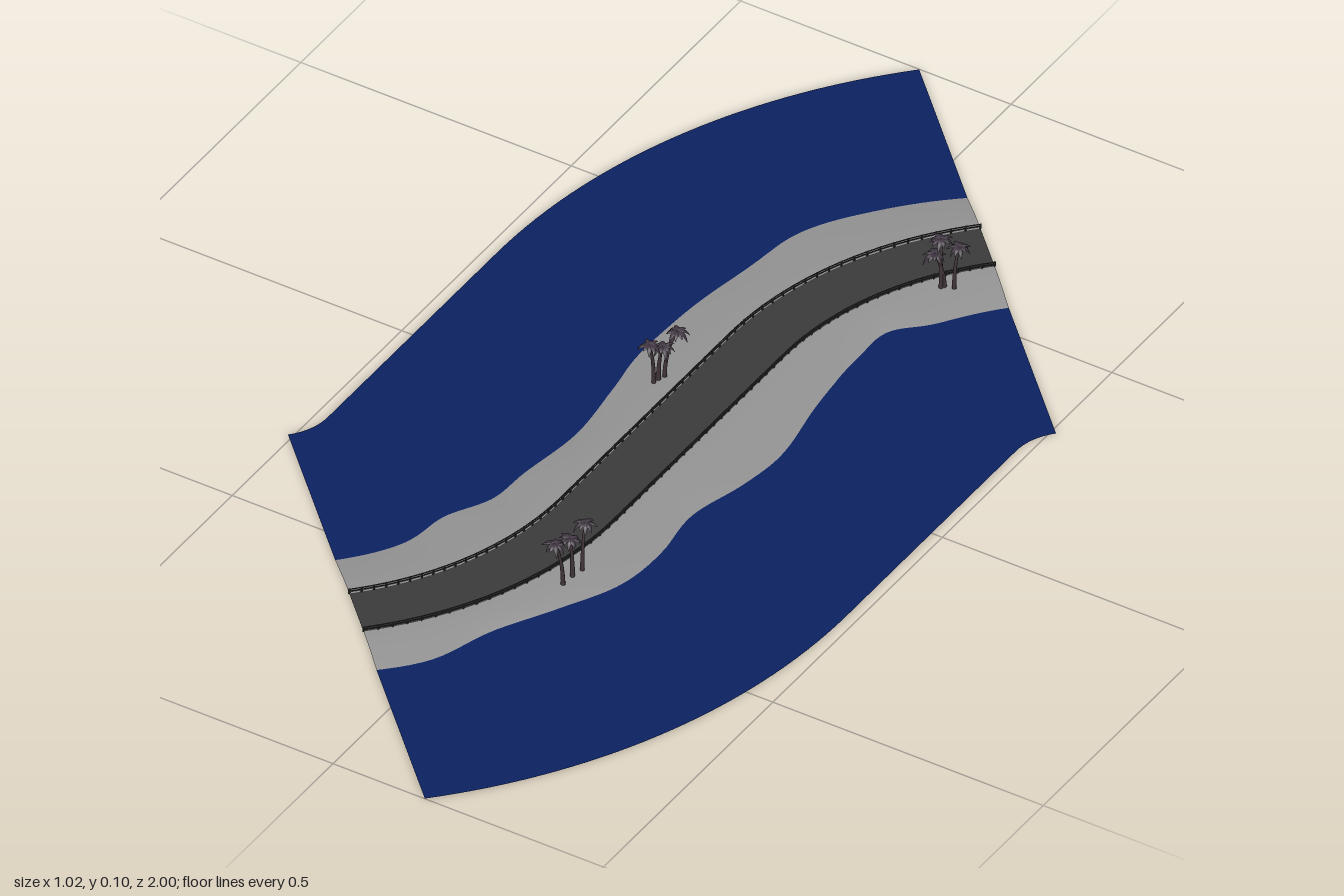
import * as THREE from 'three';
import { mergeGeometries } from 'three/addons/utils/BufferGeometryUtils.js';

const STRAIGHT = 0.25, RADIUS = 0.58, END = STRAIGHT + RADIUS * Math.PI / 4;
const HALF = 0.48, ROAD = 0.05, TOP = 0.008, STEPS = 96;

// Point on the S-bend: s runs along the road, u across it
function at(s, u) {
  if (s > 0) { const [x, z] = at(-s, -u); return [-x, -z]; }
  if (s >= -STRAIGHT) return [u, s];
  const a = (-STRAIGHT - s) / RADIUS, r = RADIUS - u;
  return [RADIUS - r * Math.cos(a), -STRAIGHT - r * Math.sin(a)];
}

// Inverse of at()
function toRoad(x, z) {
  if (z > 0) { const [s, u] = toRoad(-x, -z); return [-s, -u]; }
  if (z >= -STRAIGHT) return [z, x];
  const a = Math.atan2(-(z + STRAIGHT), RADIUS - x);
  return [-STRAIGHT - RADIUS * a, RADIUS - Math.hypot(RADIUS - x, z + STRAIGHT)];
}

// Smooth shoreline: returns u for a given s
function shoreline(points) {
  const curve = new THREE.SplineCurve(points.map(([x, z]) => new THREE.Vector2(...toRoad(x, z))));
  const pts = curve.getPoints(130);
  return s => {
    let i = 1;
    while (i < pts.length - 1 && pts[i].x < s) i++;
    const a = pts[i - 1], b = pts[i];
    const t = THREE.MathUtils.clamp((s - a.x) / (b.x - a.x), 0, 1);
    return a.y + (b.y - a.y) * t;
  };
}

const leftShore = shoreline([[0.07, -0.76], [-0.03, -0.66], [-0.105, -0.545], [-0.13, -0.4],
  [-0.153, -0.16], [-0.14, -0.05], [-0.127, 0.08], [-0.143, 0.21], [-0.15, 0.29],
  [-0.19, 0.37], [-0.207, 0.46], [-0.275, 0.555]]);
const rightShore = shoreline([[0.275, -0.555], [0.2, -0.46], [0.147, -0.4], [0.143, -0.32],
  [0.153, -0.185], [0.174, -0.05], [0.164, 0.05], [0.138, 0.16], [0.148, 0.265],
  [0.138, 0.37], [0.087, 0.476], [0.03, 0.58], [-0.01, 0.69], [-0.07, 0.76]]);

// Ribbon following the bend; each column is [u(s), y], ordered left to right
function ribbon(columns) {
  const pos = [], index = [], n = columns.length;
  for (let i = 0; i <= STEPS; i++) {
    const s = -END + 2 * END * i / STEPS;
    for (const [u, y] of columns) {
      const [x, z] = at(s, u(s));
      pos.push(x, y, z);
    }
    if (i === STEPS) continue;
    for (let j = 0; j < n - 1; j++) {
      const a = i * n + j, b = a + 1, c = a + n, d = c + 1;
      index.push(a, c, b, b, c, d);
    }
  }
  const g = new THREE.BufferGeometry();
  g.setAttribute('position', new THREE.Float32BufferAttribute(pos, 3));
  g.setIndex(index);
  g.computeVertexNormals();
  return g;
}

// Railing along one road edge: posts with two rails
function railing(u) {
  const parts = [], count = 64;
  for (let i = 0; i <= count; i++) {
    const s = -END + 2 * END * i / count;
    const [x, z] = at(s, u);
    parts.push(new THREE.BoxGeometry(0.002, 0.009, 0.003).translate(x, TOP + 0.0045, z));
    if (i === count) continue;
    const [x2, z2] = at(s + 2 * END / count, u);
    for (const y of [0.0125, 0.0162]) {
      parts.push(new THREE.BoxGeometry(0.0014, 0.0016, Math.hypot(x2 - x, z2 - z))
        .rotateY(Math.atan2(x2 - x, z2 - z)).translate((x + x2) / 2, y, (z + z2) / 2));
    }
  }
  return mergeGeometries(parts);
}

// Folded frond, arching out along +z and drooping to a pointed tip
function frond(length, droop) {
  const g = new THREE.PlaneGeometry(1, 1, 2, 5).rotateX(-Math.PI / 2);
  const p = g.attributes.position;
  for (let i = 0; i < p.count; i++) {
    const t = p.getZ(i) + 0.5, side = p.getX(i) * 2;
    const w = 0.0038 * Math.sin(Math.PI * (0.12 + 0.85 * t));
    p.setXYZ(i, side * w,
      length * (0.6 * t - droop * t * t) - Math.abs(side) * w * 0.6,
      length * t * (1 - 0.2 * t));
  }
  g.computeVertexNormals();
  return g;
}

function palm(base, crown, height, seed, mats) {
  const g = new THREE.Group();
  g.name = 'palm';
  const foot = new THREE.Vector3(base[0], 0.004, base[1]);
  const head = new THREE.Vector3(crown[0], height, crown[1]);
  const bend = new THREE.Vector3(base[0], height * 0.6, base[1]);
  const curve = new THREE.QuadraticBezierCurve3(foot, bend, head);

  // Trunk, thicker at the foot
  const tube = new THREE.TubeGeometry(curve, 8, 0.0028, 6);
  const p = tube.attributes.position, v = new THREE.Vector3();
  for (let i = 0; i < p.count; i++) {
    const t = Math.floor(i / 7) / 8, c = curve.getPointAt(t);
    v.fromBufferAttribute(p, i).sub(c).multiplyScalar(1.5 - 0.8 * t).add(c);
    p.setXYZ(i, v.x, v.y, v.z);
  }
  const trunk = new THREE.Mesh(tube, mats.trunk);
  trunk.name = 'trunk';

  // Crown of fronds
  const leaves = [];
  for (let i = 0; i < 11; i++) {
    leaves.push(frond(0.021 + 0.005 * ((i * 5 + seed) % 4) / 3, 0.7 + 0.55 * ((i * 3 + seed) % 5) / 4)
      .rotateY(i * Math.PI * 2 / 11 + seed));
  }
  const fronds = new THREE.Mesh(mergeGeometries(leaves), mats.fronds);
  fronds.name = 'fronds';
  fronds.position.copy(head);
  g.add(trunk, fronds);
  return g;
}

export function createModel() {
  const model = new THREE.Group();
  model.name = 'coastalRoad';
  const material = (name, color, side = THREE.FrontSide) => {
    const m = new THREE.MeshStandardMaterial({ color, side });
    m.name = name;
    return m;
  };
  const water = material('water', 0x0c2162, THREE.DoubleSide);
  const sand = material('sand', 0x959595, THREE.DoubleSide);
  const asphalt = material('asphalt', 0x3b3b3b, THREE.DoubleSide);
  const metal = material('railing', 0x333333);
  const mats = { trunk: material('trunk', 0x42363a), fronds: material('fronds', 0x3e3440, THREE.DoubleSide) };
  const add = (name, geometry, mat) => {
    const mesh = new THREE.Mesh(geometry, mat);
    mesh.name = name;
    model.add(mesh);
  };

  // Sea, banks and road surface
  const flat = u => () => u;
  const shoulder = 0.09;
  add('leftSea', ribbon([[flat(-HALF), 0], [leftShore, 0]]), water);
  add('rightSea', ribbon([[rightShore, 0], [flat(HALF), 0]]), water);
  add('leftBank', ribbon([[leftShore, 0], [flat(-shoulder), TOP - 0.001], [flat(-ROAD), TOP]]), sand);
  add('rightBank', ribbon([[flat(ROAD), TOP], [flat(shoulder), TOP - 0.001], [rightShore, 0]]), sand);
  add('road', ribbon([[flat(-ROAD), TOP], [flat(ROAD), TOP]]), asphalt);
  add('leftRailing', railing(-ROAD), metal);
  add('rightRailing', railing(ROAD), metal);

  // Three clumps of palms: [base, crown, crown height]
  const palms = [
    [[-0.09, -0.09], [-0.088, -0.073], 0.093], [[-0.084, -0.112], [-0.072, -0.13], 0.09],
    [[-0.088, -0.1], [-0.08, -0.1], 0.076],
    [[0.065, 0.425], [0.056, 0.435], 0.09], [[0.071, 0.378], [0.07, 0.368], 0.094],
    [[0.067, 0.4], [0.062, 0.4], 0.08],
    [[0.162, -0.535], [0.155, -0.547], 0.093], [[0.18, -0.545], [0.183, -0.555], 0.084],
    [[0.165, -0.54], [0.15, -0.535], 0.07],
  ];
  palms.forEach(([base, crown, h], i) => model.add(palm(base, crown, h, i, mats)));
  return model;
}
